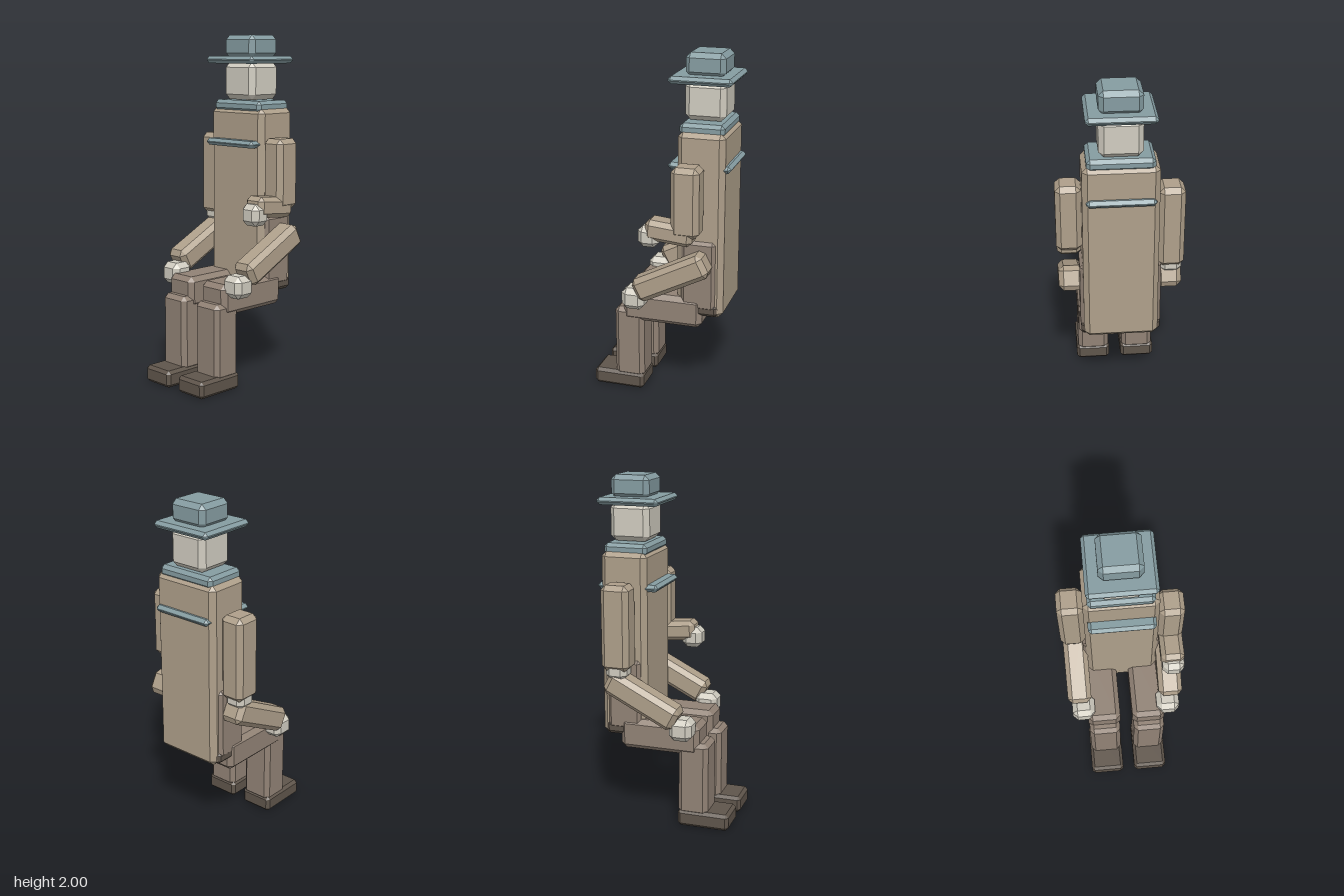
import * as THREE from 'three';
import { ConvexGeometry } from 'three/addons/geometries/ConvexGeometry.js';

const material = (color) => new THREE.MeshStandardMaterial({ color, flatShading: true });

// Box with every edge bevelled by c
function bevelBox(w, h, d, c) {
  const half = [w / 2, h / 2, d / 2];
  const points = [];
  for (const sx of [-1, 1]) for (const sy of [-1, 1]) for (const sz of [-1, 1]) {
    for (let outer = 0; outer < 3; outer++) {
      const p = half.map((v, i) => (i === outer ? v : v - c));
      points.push(new THREE.Vector3(p[0] * sx, p[1] * sy, p[2] * sz));
    }
  }
  return new ConvexGeometry(points);
}

export function createModel() {
  const group = new THREE.Group();
  const hat = material(0x859ca1);
  const skin = material(0xd0ccc0);
  const coat = material(0xae9f8a);
  const trousers = material(0x918275);
  const leather = material(0x5f554b);

  // Bevelled part spanning [min, max] on each axis, tilted about x
  function part(name, mat, [x0, x1], [y0, y1], [z0, z1], c = 0.028, tilt = 0) {
    const mesh = new THREE.Mesh(bevelBox(x1 - x0, y1 - y0, z1 - z0, c), mat);
    mesh.position.set((x0 + x1) / 2, (y0 + y1) / 2, (z0 + z1) / 2);
    mesh.rotation.x = tilt;
    mesh.name = name;
    group.add(mesh);
  }

  // Hat, head and collar
  part('hatCrown', hat, [-0.118, 0.118], [1.87, 2], [-0.342, -0.116], 0.027);
  part('hatBrim', hat, [-0.19, 0.19], [1.838, 1.88], [-0.4, -0.038], 0.018);
  part('head', skin, [-0.12, 0.12], [1.63, 1.845], [-0.348, -0.115], 0.03);
  part('collar', hat, [-0.185, 0.185], [1.56, 1.627], [-0.36, -0.105], 0.02);

  // Torso, chest band, hips and seat
  part('torso', coat, [-0.21, 0.21], [0.505, 1.585], [-0.37, -0.1], 0.03);
  part('chestBand', hat, [-0.19, 0.19], [1.362, 1.402], [-0.4, -0.038], 0.018);
  part('hips', trousers, [-0.228, 0.228], [0.55, 0.968], [-0.33, -0.13], 0.02);
  part('seat', leather, [-0.225, 0.225], [0.515, 0.59], [-0.345, -0.1], 0.02);

  // Left arm, bent forward
  part('leftUpperArm', coat, [0.21, 0.353], [1.02, 1.42], [-0.263, -0.102]);
  part('leftForearm', coat, [0.215, 0.35], [0.98, 1.098], [-0.227, 0.048], 0.026, -0.09);
  part('leftHand', skin, [0.222, 0.348], [0.945, 1.068], [-0.032, 0.09], 0.03);

  // Right arm, hanging
  part('rightArm', coat, [-0.356, -0.21], [0.93, 1.42], [-0.32, -0.156]);
  part('rightHand', skin, [-0.347, -0.222], [0.875, 0.995], [-0.3, -0.175], 0.03);

  for (const [side, s] of [['left', 1], ['right', -1]]) {
    const span = (a, b) => (s > 0 ? [a, b] : [-b, -a]);
    // Sloping forearm with its hand on the knee
    part(side + 'LowerSleeve', coat, span(0.204, 0.346), [0.695, 0.837], [-0.321, 0.136], 0.028, 0.47);
    part(side + 'KneeHand', skin, span(0.188, 0.325), [0.545, 0.672], [0.065, 0.2], 0.03);
    // Seated leg
    part(side + 'Thigh', trousers, span(0.037, 0.235), [0.438, 0.618], [-0.253, 0.22]);
    part(side + 'Shin', trousers, span(0.043, 0.23), [0.07, 0.51], [0.095, 0.272], 0.025);
    part(side + 'Shoe', leather, span(0.036, 0.239), [0, 0.098], [0.095, 0.4], 0.018);
  }
  return group;
}
